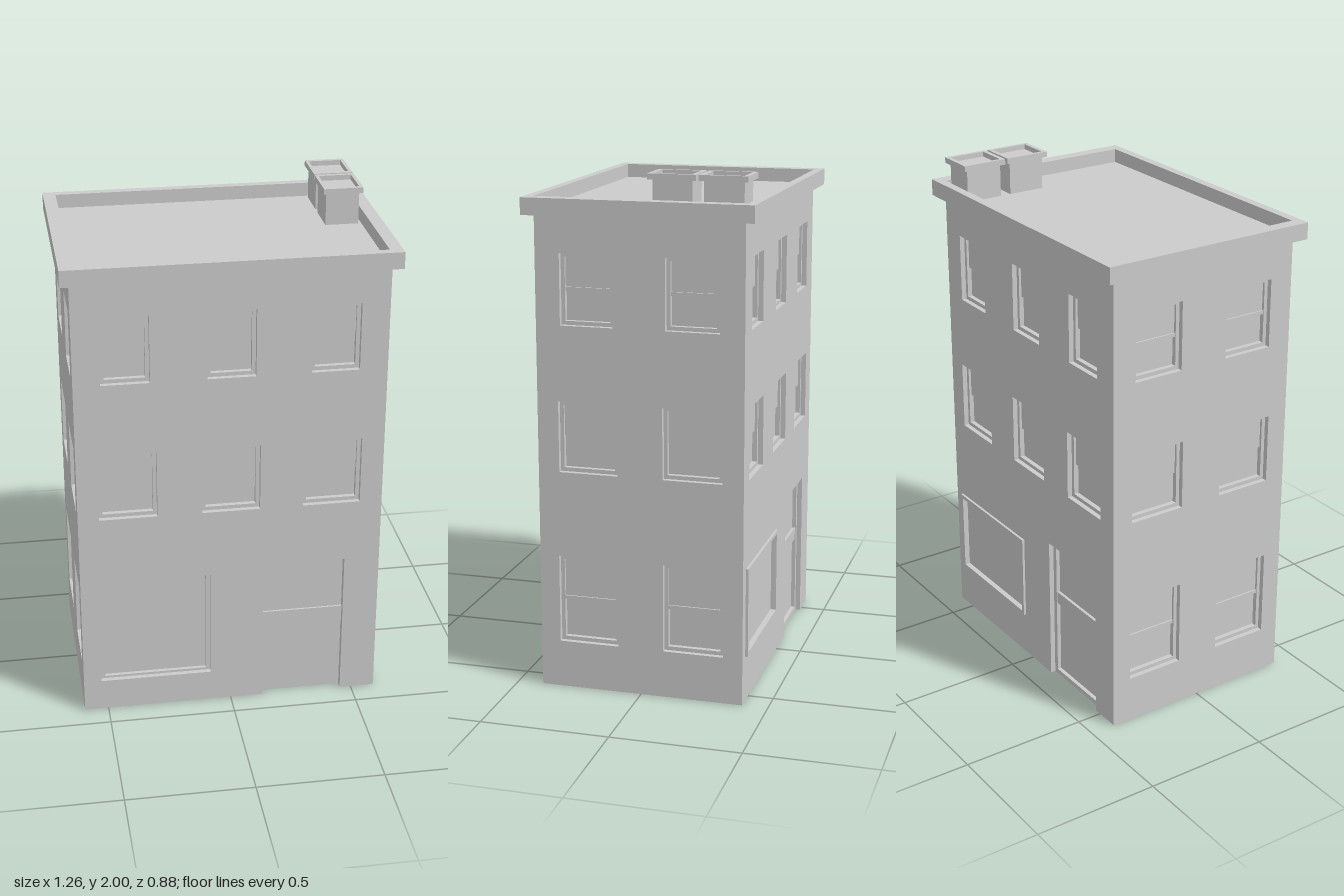
import * as THREE from 'three';

const material = new THREE.MeshStandardMaterial({ color: 0xcccccc, flatShading: true });
const W = 1.19, D = 0.8, H = 1.84; // walls: width, depth, height
const T = 0.045; // wall thickness, also the deepest recess

function addMesh(parent, name, geometry, x = 0, y = 0, z = 0) {
  const mesh = new THREE.Mesh(geometry, material);
  mesh.name = name;
  mesh.position.set(x, y, z);
  parent.add(mesh);
  return mesh;
}

// Box given by its limits
function addBox(parent, name, x0, x1, y0, y1, z0, z1) {
  return addMesh(parent, name, new THREE.BoxGeometry(x1 - x0, y1 - y0, z1 - z0),
    (x0 + x1) / 2, (y0 + y1) / 2, (z0 + z1) / 2);
}

function rectangle(target, x0, x1, y0, y1) {
  target.moveTo(x0, y0);
  target.lineTo(x1, y0);
  target.lineTo(x1, y1);
  target.lineTo(x0, y1);
  target.closePath();
  return target;
}

// Rectangular ring with side borders bx and top/bottom borders by
function ring(x0, x1, y0, y1, bx, by, depth) {
  const shape = rectangle(new THREE.Shape(), x0, x1, y0, y1);
  shape.holes.push(rectangle(new THREE.Path(), x0 + bx, x1 - bx, y0 + by, y1 - by));
  return new THREE.ExtrudeGeometry(shape, { depth, bevelEnabled: false });
}

// Sash window: the upper sash stands in front of the lower one
function addSashWindow(wall, { x, w, y0, y1, rail }) {
  const group = new THREE.Group();
  group.name = 'sashWindow';
  const x0 = x - w / 2, x1 = x + w / 2, mid = (y0 + y1) / 2, b = 0.015;
  addMesh(group, 'windowFrame', ring(x0, x1, y0, y1, b, b, T - 0.02), 0, 0, -T);
  addBox(group, 'upperSash', x0 + b, x1 - b, mid, y1 - b, -T, -0.03);
  addBox(group, 'lowerSash', x0 + b, x1 - b, y0 + b, mid, -T, -0.039);
  if (rail) addBox(group, 'meetingRail', x0 + b, x1 - b, mid - 0.007, mid + 0.007, -T, -0.024);
  wall.add(group);
}

// Wall facing local +z with its outer face at z = 0
function makeWall(name, width, windows, extras = [], door = null) {
  const wall = new THREE.Group();
  wall.name = name;
  const shape = new THREE.Shape();
  shape.moveTo(-width / 2, 0);
  if (door) {
    shape.lineTo(door.x0, 0);
    shape.lineTo(door.x0, door.top);
    shape.lineTo(door.x1, door.top);
    shape.lineTo(door.x1, 0);
  }
  shape.lineTo(width / 2, 0);
  shape.lineTo(width / 2, H);
  shape.lineTo(-width / 2, H);
  shape.closePath();
  for (const { x, w, y0, y1 } of [...windows, ...extras]) {
    shape.holes.push(rectangle(new THREE.Path(), x - w / 2, x + w / 2, y0, y1));
  }
  addMesh(wall, 'wallPanel', new THREE.ExtrudeGeometry(shape, { depth: T, bevelEnabled: false }), 0, 0, -T);
  windows.forEach((item) => addSashWindow(wall, item));
  return wall;
}

export function createModel() {
  const building = new THREE.Group();
  building.name = 'building';

  // Solid core behind the wall panels
  addBox(building, 'core', -W / 2 + T, W / 2 - T, 0, H, -D / 2 + T, D / 2 - T);

  // Upper windows shared by the front and back
  const upperWindows = [];
  for (const x of [-0.4, 0, 0.395]) {
    upperWindows.push({ x, w: 0.185, y0: 1.43, y1: 1.7 });
    upperWindows.push({ x, w: 0.225, y0: 0.865, y1: 1.14 });
  }

  // Front: shop window and recessed entrance
  const shop = { x: -0.3025, w: 0.445, y0: 0.13, y1: 0.585 };
  const front = makeWall('frontWall', W, upperWindows, [shop], { x0: 0.13, x1: 0.455, top: 0.61 });
  front.position.z = D / 2;
  addMesh(front, 'shopWindowFrame', ring(-0.525, -0.08, 0.13, 0.585, 0.018, 0.01, 0.025), 0, 0, -T);
  addBox(front, 'shopWindowPane', -0.507, -0.098, 0.14, 0.575, -T, -0.035);
  addBox(front, 'transomPanel', 0.13, 0.455, 0.38, 0.61, -T, -0.028);
  addBox(front, 'doorRail', 0.13, 0.455, 0.31, 0.38, -T, -0.02);
  addBox(front, 'doorPanel', 0.13, 0.455, 0, 0.31, -T, -0.028);
  building.add(front);

  // Back: framed display window and back door
  const display = { x: -0.3, w: 0.48, y0: 0.19, y1: 0.52 };
  const back = makeWall('backWall', W, upperWindows, [display], { x0: 0.14, x1: 0.47, top: 0.6 });
  back.rotation.y = Math.PI;
  back.position.z = -D / 2;
  addMesh(back, 'displayWindowFrame', ring(-0.55, -0.05, 0.18, 0.53, 0.015, 0.015, T + 0.01), 0, 0, -T);
  addBox(back, 'displayWindowPane', -0.535, -0.065, 0.195, 0.515, -T, -0.012);
  addMesh(back, 'backDoorFrame', ring(0.14, 0.47, 0, 0.6, 0.02, 0.02, 0.025), 0, 0, -T);
  addBox(back, 'backDoorPanel', 0.16, 0.45, 0.02, 0.58, -T, -0.036);
  addBox(back, 'backDoorRail', 0.16, 0.45, 0.33, 0.38, -T, -0.024);
  building.add(back);

  // Sides: two windows on each floor
  const sideWindows = [];
  for (const s of [-1, 1]) {
    sideWindows.push({ x: s * 0.203, w: 0.205, y0: 1.43, y1: 1.7, rail: true });
    sideWindows.push({ x: s * 0.203, w: 0.23, y0: 0.865, y1: 1.14 });
    sideWindows.push({ x: s * 0.207, w: 0.235, y0: 0.185, y1: 0.53, rail: true });
  }
  for (const [name, s] of [['leftWall', 1], ['rightWall', -1]]) {
    const side = makeWall(name, D - 2 * T, sideWindows);
    side.rotation.y = s * Math.PI / 2;
    side.position.x = s * W / 2;
    building.add(side);
  }

  // Sunken roof inside an overhanging parapet
  addBox(building, 'roof', -0.58, 0.58, H, 1.85, -0.405, 0.405);
  const parapet = addMesh(building, 'parapet', ring(-0.63, 0.63, -0.44, 0.44, 0.05, 0.035, 0.065), 0, H, 0);
  parapet.rotation.x = -Math.PI / 2;

  // Pair of chimneys with hollow caps
  for (const z of [-0.3125, -0.12]) {
    const chimney = new THREE.Group();
    chimney.name = 'chimney';
    chimney.position.set(0.5025, 0, z);
    addBox(chimney, 'chimneyStack', -0.065, 0.065, 1.85, 1.98, -0.0745, 0.0745);
    const cap = addMesh(chimney, 'chimneyCap', ring(-0.0775, 0.0775, -0.091, 0.091, 0.0135, 0.0175, 0.022), 0, 1.978, 0);
    cap.rotation.x = -Math.PI / 2;
    building.add(chimney);
  }

  return building;
}
